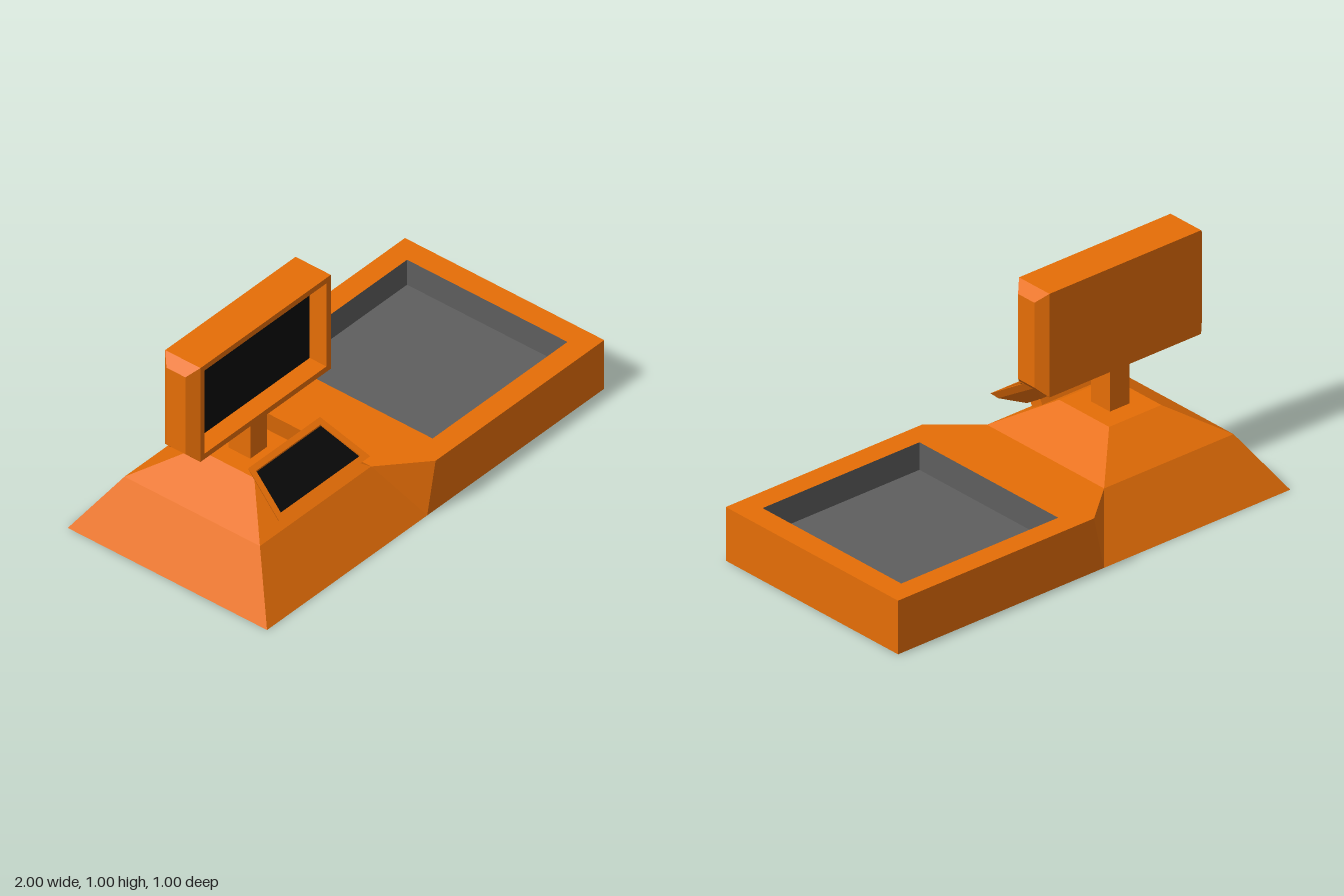
import * as THREE from 'three';

const orange = new THREE.MeshStandardMaterial({ name: 'orange casing', color: 0xe66e06 });
const grey = new THREE.MeshStandardMaterial({ name: 'grey tray lining', color: 0x5e5e5e });
const black = new THREE.MeshStandardMaterial({ name: 'black screen', color: 0x090909 });

// Four-cornered rings, counterclockwise around the direction of travel
const ringY = (x0, x1, z0, z1, y) => [[x0, y, z1], [x1, y, z1], [x1, y, z0], [x0, y, z0]];
const ringZ = (x0, x1, y0, y1, z) => [[x0, y0, z], [x1, y0, z], [x1, y1, z], [x0, y1, z]];
const ringX = (y0, y1, z0, z1, x) => [[x, y0, z1], [x, y0, z0], [x, y1, z0], [x, y1, z1]];
// Ring symmetrical in x, whose front and back edges differ in width and height
const tiltRing = (cx, [zf, yf, wf], [zb, yb, wb]) =>
  [[cx - wf, yf, zf], [cx + wf, yf, zf], [cx + wb, yb, zb], [cx - wb, yb, zb]];

// Flat-faced skin through a list of rings, with optional end caps
function loft(rings, capStart = true, capEnd = true) {
  const pos = [];
  const quad = (a, b, c, d) => pos.push(...a, ...b, ...c, ...a, ...c, ...d);
  for (let i = 0; i < rings.length - 1; i++) {
    for (let j = 0; j < 4; j++) {
      const k = (j + 1) % 4;
      const [a, b, c, d] = [rings[i][j], rings[i][k], rings[i + 1][k], rings[i + 1][j]];
      // The last side is split the other way, so that opposite sides mirror
      if (j === 3) quad(b, c, d, a);
      else quad(a, b, c, d);
    }
  }
  if (capStart) quad(...[...rings[0]].reverse());
  if (capEnd) quad(...rings[rings.length - 1]);
  const g = new THREE.BufferGeometry();
  g.setAttribute('position', new THREE.Float32BufferAttribute(pos, 3));
  g.computeVertexNormals();
  return g;
}

export function createModel() {
  const model = new THREE.Group();
  model.name = 'checkoutTerminal';
  const add = (name, material, geometry) => {
    const mesh = new THREE.Mesh(geometry, material);
    mesh.name = name;
    model.add(mesh);
  };

  // Tray block with a sunken, lined well
  const H = 0.234;
  const wellTop = ringY(0.1, 0.9, -0.405, 0.4, H);
  add('trayBlock', orange, loft([
    ringY(0, 1, -0.5, 0.5, 0), ringY(0, 1, -0.5, 0.5, H), wellTop], true, false));
  add('trayWell', grey, loft([wellTop, ringY(0.1, 0.9, -0.405, 0.4, 0.114)], false, true));

  // Two-step pyramid mound
  add('mound', orange, loft([
    ringY(-1, -0.05, -0.5, 0.5, 0),
    ringY(-0.847, -0.187, -0.345, 0.335, H),
    ringY(-0.65, -0.384, -0.15, 0.14, 0.352)]));

  // Bridge from the mound to the tray block
  add('bridge', orange, loft([
    [[-0.05, 0, 0.5], [-0.05, 0, -0.5], [-0.187, H, -0.345], [-0.187, H, 0.335]],
    ringX(0, H, -0.5, 0.5, 0)], false, false));

  // Post
  add('post', orange, loft([
    ringY(-0.567, -0.467, -0.06, 0.05, 0.34), ringY(-0.567, -0.467, -0.06, 0.05, 0.56)]));

  // Monitor: recessed frame, screen and chamfered ends
  const x0 = -0.903, x1 = -0.13, y0 = 0.548, y1 = 1, zb = -0.093, zf = 0.084;
  const hole = z => ringZ(-0.878, -0.156, 0.574, 0.974, z);
  add('monitorCase', orange, loft([
    ringZ(x0, x1, y0, y1, zb), ringZ(x0, x1, y0, y1, zf), hole(zf), hole(0)], true, false));
  add('monitorScreen', black, loft([hole(-0.003), hole(0)]));
  const c = 0.041;
  const full = x => ringX(y0, y1, zb, zf, x);
  const inset = x => ringX(y0 + c, y1 - c, zb + c, zf - c, x);
  add('monitorRightEnd', orange, loft([inset(x0 - c), full(x0)], true, false));
  add('monitorLeftEnd', orange, loft([full(x1), inset(x1 + c)], false, true));

  // Tilted keypad on a short neck, its screen slightly sunk
  const cx = -0.511;
  add('keypadNeck', orange, loft([
    tiltRing(cx - 0.004, [0.245, 0.24, 0.157], [0.187, 0.273, 0.157]),
    tiltRing(cx - 0.004, [0.279, 0.299, 0.157], [0.221, 0.332, 0.157])]));
  const padHole = d =>
    tiltRing(cx, [0.355 - 0.515 * d, 0.3475 - 0.857 * d, 0.236], [0.194, 0.4438 - 0.857 * d, 0.192]);
  add('keypadCase', orange, loft([
    tiltRing(cx, [0.279, 0.296, 0.17], [0.22, 0.331, 0.15]),
    tiltRing(cx, [0.355, 0.315, 0.25], [0.182, 0.415, 0.2]),
    tiltRing(cx, [0.376, 0.335, 0.27], [0.172, 0.457, 0.213]),
    padHole(0), padHole(0.008)], true, false));
  add('keypadScreen', black, loft([padHole(0.011), padHole(0.008)]));

  return model;
}
